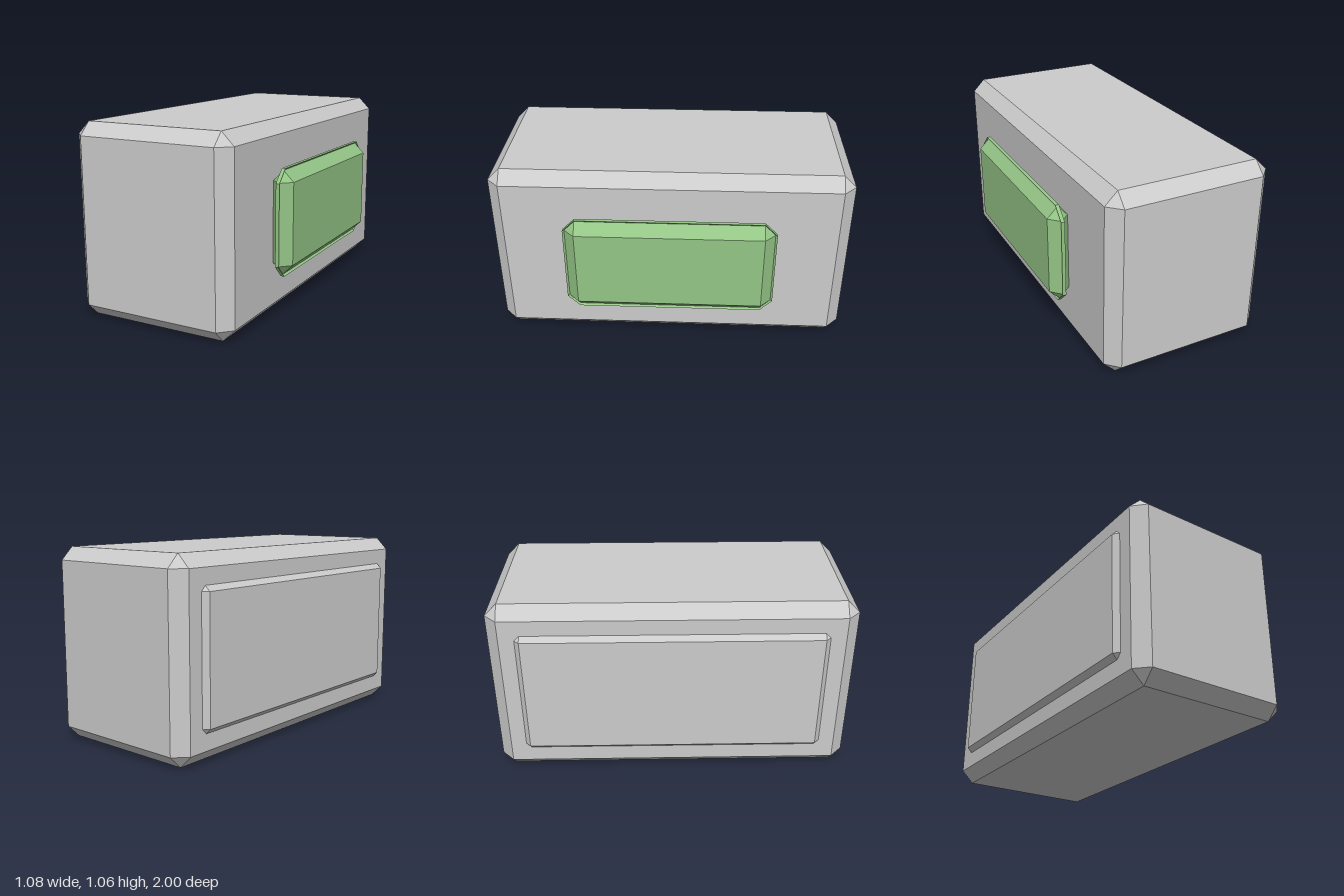
import * as THREE from 'three';

// Box between two corners with one flat bevel on every edge and a triangle on every corner
function beveledBox(min, max, bevel) {
  const center = min.map((v, i) => (v + max[i]) / 2);
  const half = min.map((v, i) => (max[i] - v) / 2);
  const positions = [];

  // Corner point for the given signs, lying on the face across the given axis
  const point = (signs, axis) =>
    signs.map((s, i) => center[i] + s * (half[i] - (i === axis ? 0 : bevel)));
  const polygon = (points, flip) => {
    const p = flip ? [...points].reverse() : points;
    for (let i = 1; i < p.length - 1; i++) positions.push(...p[0], ...p[i], ...p[i + 1]);
  };

  for (let a = 0; a < 3; a++) {
    const b = (a + 1) % 3, c = (a + 2) % 3;
    const signs = (sa, sb, sc) => {
      const s = [0, 0, 0];
      s[a] = sa; s[b] = sb; s[c] = sc;
      return s;
    };
    // Two flat faces across this axis
    for (const s of [-1, 1]) {
      polygon([[-1, -1], [1, -1], [1, 1], [-1, 1]].map(([u, v]) => point(signs(s, u, v), a)), s < 0);
    }
    // Four bevel strips along this axis
    for (const u of [-1, 1]) for (const v of [-1, 1]) {
      polygon([
        point(signs(-1, u, v), b), point(signs(1, u, v), b),
        point(signs(1, u, v), c), point(signs(-1, u, v), c),
      ], u * v > 0);
    }
  }
  // Eight corner triangles
  for (const x of [-1, 1]) for (const y of [-1, 1]) for (const z of [-1, 1]) {
    polygon([0, 1, 2].map((axis) => point([x, y, z], axis)), x * y * z < 0);
  }

  const geometry = new THREE.BufferGeometry();
  geometry.setAttribute('position', new THREE.Float32BufferAttribute(positions, 3));
  geometry.computeVertexNormals();
  return geometry;
}

export function createModel() {
  const model = new THREE.Group();
  model.name = 'beveledBlock';
  const grey = new THREE.MeshStandardMaterial({ color: 0xcccccc, flatShading: true });
  const green = new THREE.MeshStandardMaterial({
    color: 0x94c586, flatShading: true, side: THREE.DoubleSide,
  });

  const add = (name, min, max, bevel, material) => {
    const mesh = new THREE.Mesh(beveledBox(min, max, bevel), material);
    mesh.name = name;
    model.add(mesh);
  };

  add('body', [-0.515, 0, -1], [0.423, 1.06, 1], 0.07, grey);
  // Shallow raised panel, its base sunk into the body
  add('sidePanel', [-0.543, 0.12, -0.885], [-0.38, 0.943, 0.885], 0.069, grey);
  // Thin plate: the bevels are deeper than half its thickness, so they cross into a narrow rim
  add('greenPlate', [0.423, 0.238, -0.587], [0.54, 0.824, 0.587], 0.069, green);

  return model;
}
